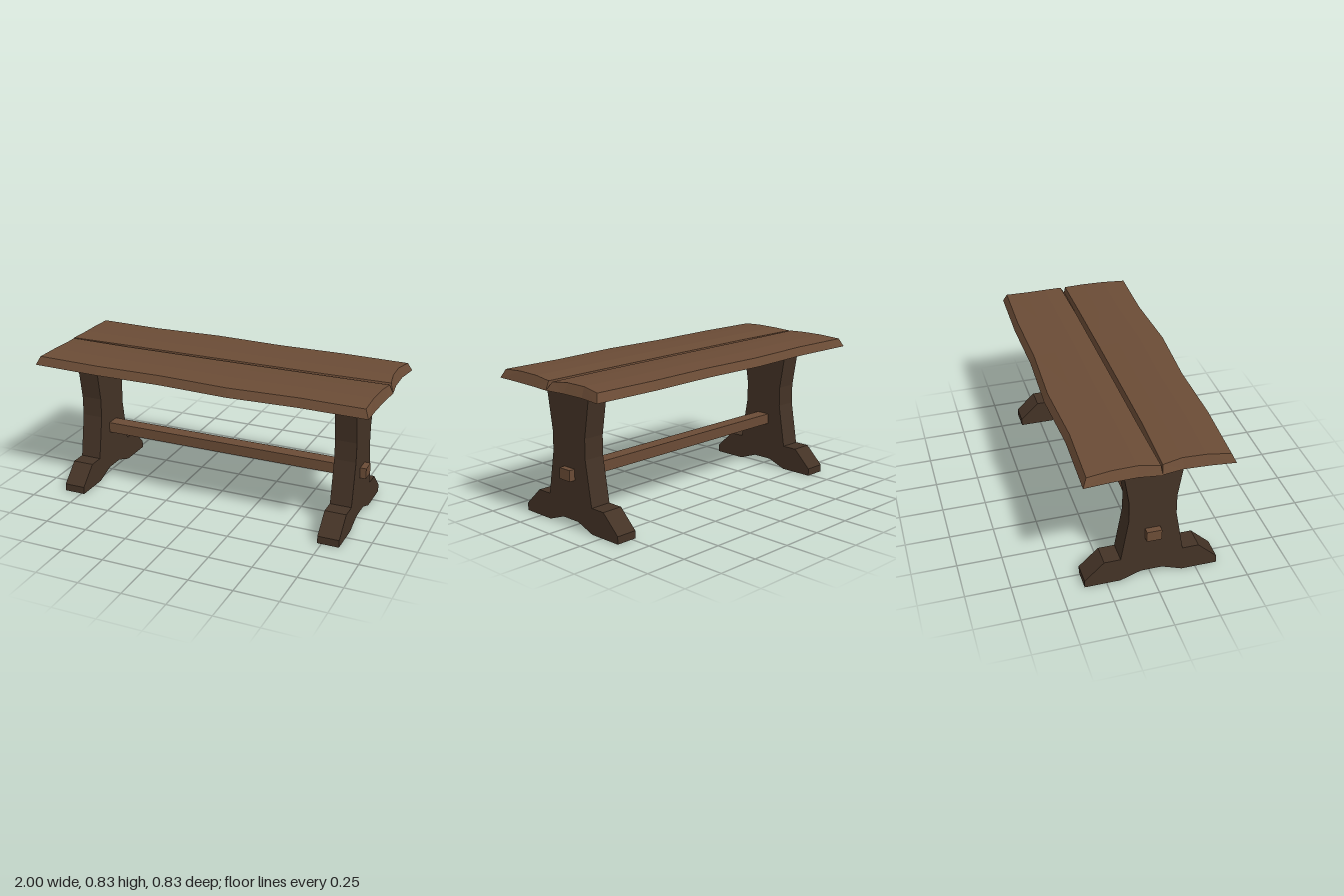
import * as THREE from 'three';

const lightWood = new THREE.MeshStandardMaterial({ color: 0x6b4c36, flatShading: true });
const darkWood = new THREE.MeshStandardMaterial({ color: 0x443326, flatShading: true });

const stations = [-1, -0.6, -0.2, 0.2, 0.6, 1];
const across = [0, 0.3, 0.65, 1]; // fractions from inner edge to outer edge
const topY = [0.825, 0.834, 0.834, 0.825];
const bottomY = 0.778;

// Rough-sawn plank lofted along x. side is +1 (front) or -1 (back).
// innerTop / innerBottom / outer hold z per station; ends hold x per fraction across.
function makePlank({ side, innerTop, innerBottom, outer, leftEnd, rightEnd }) {
  const pos = [];
  const index = [];
  const last = stations.length - 1;
  stations.forEach((x, s) => {
    const endX = s === 0 ? leftEnd : s === last ? rightEnd : null;
    const bevel = s === 0 ? 0.022 : s === last ? -0.022 : 0;
    // top edge of the section, inner to outer
    across.forEach((t, i) => {
      const z = THREE.MathUtils.lerp(innerTop[s], outer[s] - side * 0.022, t);
      pos.push((endX ? endX[i] : x) + bevel, topY[i], z);
    });
    // bottom edge, outer to inner
    for (let i = 3; i >= 0; i--) {
      const z = THREE.MathUtils.lerp(innerBottom[s], outer[s], across[i]);
      pos.push(endX ? endX[i] : x, bottomY, z);
    }
  });
  const quad = (a, b, c, d) =>
    side > 0 ? index.push(a, b, c, a, c, d) : index.push(a, c, b, a, d, c);
  for (let s = 0; s < last; s++) {
    for (let i = 0; i < 8; i++) {
      const j = (i + 1) % 8;
      quad(s * 8 + i, s * 8 + j, s * 8 + 8 + j, s * 8 + 8 + i);
    }
  }
  // end caps
  for (let i = 0; i < 3; i++) {
    quad(i, 7 - i, 6 - i, i + 1);
    const e = last * 8;
    quad(e + i, e + i + 1, e + 6 - i, e + 7 - i);
  }
  const geo = new THREE.BufferGeometry();
  geo.setAttribute('position', new THREE.Float32BufferAttribute(pos, 3));
  geo.setIndex(index);
  geo.computeVertexNormals();
  return new THREE.Mesh(geo, lightWood);
}

// Trestle end: half outline (z, y) mirrored, then extruded along x
function makeTrestle(thickness) {
  const half = [
    [0.06, 0.042], [0.173, 0], [0.372, 0], [0.372, 0.043], [0.264, 0.147],
    [0.173, 0.147], [0.13, 0.4], [0.13, 0.515], [0.173, 0.778],
  ];
  const mirrored = half.map(([z, y]) => [-z, y]).reverse();
  const shape = new THREE.Shape([...half, ...mirrored].map(([z, y]) => new THREE.Vector2(z, y)));
  const geo = new THREE.ExtrudeGeometry(shape, { depth: thickness, bevelEnabled: false });
  geo.translate(0, 0, -thickness / 2).rotateY(-Math.PI / 2);
  return new THREE.Mesh(geo, darkWood);
}

export function createModel() {
  const group = new THREE.Group();

  // Table top: two planks meeting at a narrow V-shaped gap
  const seam = [-0.004, 0, 0, -0.002, -0.003, -0.006];
  const front = makePlank({
    side: 1,
    innerTop: [0.002, 0.011, 0.009, 0.006, 0.002, -0.004],
    innerBottom: seam,
    outer: [0.382, 0.397, 0.391, 0.412, 0.391, 0.398],
    leftEnd: [-0.995, -0.978, -0.985, -1],
    rightEnd: [0.995, 0.985, 0.98, 0.98],
  });
  front.name = 'frontPlank';
  const back = makePlank({
    side: -1,
    innerTop: [-0.008, -0.014, -0.016, -0.02, -0.024, -0.034],
    innerBottom: seam,
    outer: [-0.408, -0.396, -0.416, -0.4, -0.409, -0.4],
    leftEnd: [-1, -0.982, -0.985, -0.995],
    rightEnd: [0.995, 0.978, 0.975, 0.995],
  });
  back.name = 'backPlank';
  group.add(front, back);

  // Trestle legs
  for (const [name, x] of [['rightTrestle', -0.793], ['leftTrestle', 0.788]]) {
    const leg = makeTrestle(0.124);
    leg.position.x = x;
    leg.name = name;
    group.add(leg);
  }

  // Stretcher beam passing through both trestles
  const beam = new THREE.Mesh(new THREE.BoxGeometry(1.776, 0.062, 0.083), lightWood);
  beam.position.set(-0.003, 0.301, 0);
  beam.name = 'stretcher';
  group.add(beam);

  return group;
}
